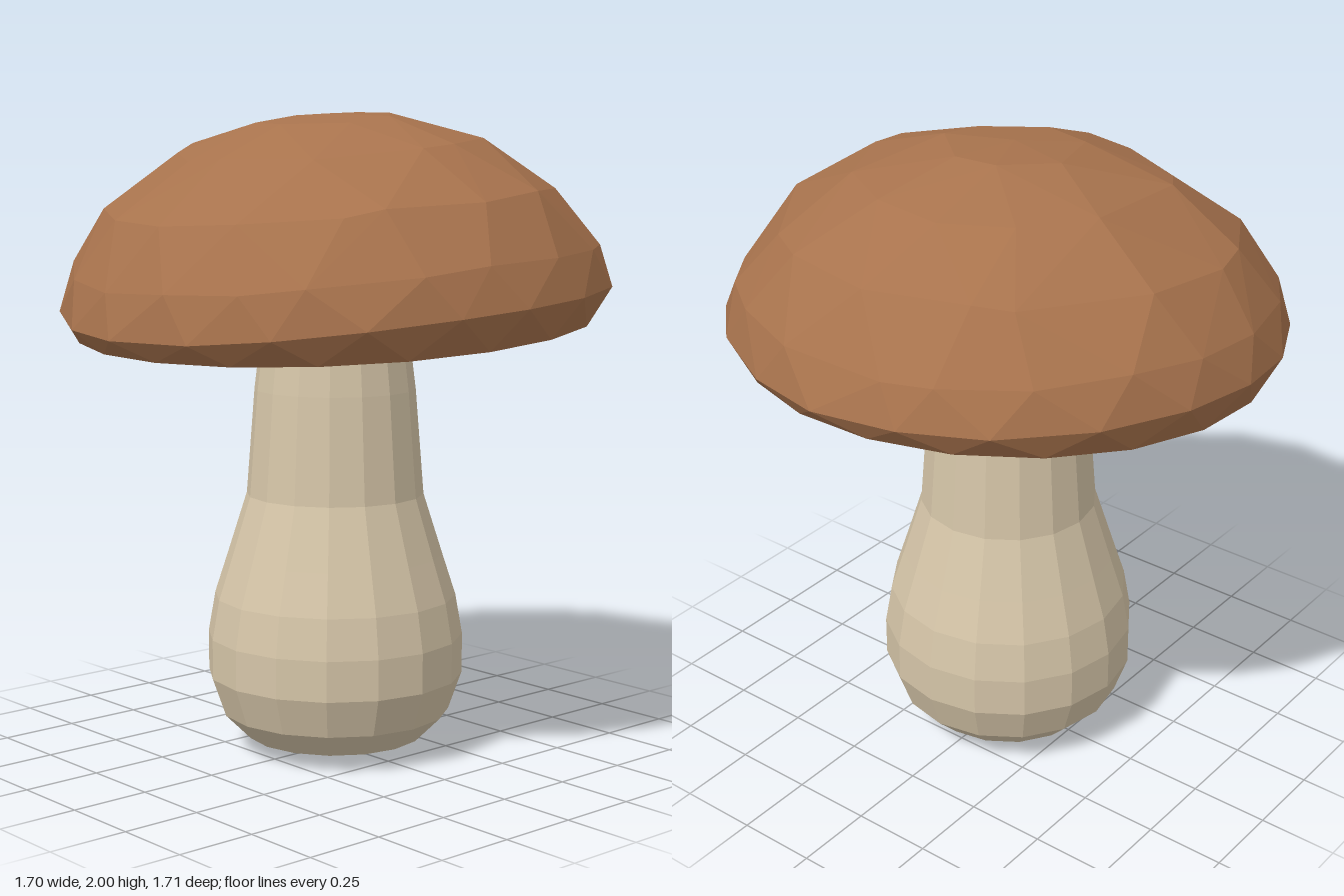
import * as THREE from 'three';
import { ConvexGeometry } from 'three/addons/geometries/ConvexGeometry.js';

// small seeded generator, returns -1..1
function makeRandom(seed) {
  let s = seed;
  return () => {
    s = (s * 16807) % 2147483647;
    return (s / 2147483647) * 2 - 1;
  };
}

// split every face so each facet shades flat
function faceted(geometry) {
  const g = geometry.index ? geometry.toNonIndexed() : geometry;
  g.computeVertexNormals();
  return g;
}

// uneven ring of points; droop lowers it towards the left and right
function ring(radius, y, count, offset, rand, jitter, droop = 0) {
  const points = [];
  for (let i = 0; i < count; i++) {
    const a = ((i + offset + rand() * jitter * 2) / count) * Math.PI * 2;
    const r = radius * (1 + rand() * jitter * 0.06);
    const x = Math.sin(a) * r;
    points.push(new THREE.Vector3(x, y + rand() * jitter * 0.06 - droop * x * x, Math.cos(a) * r));
  }
  return points;
}

export function createModel() {
  const capBrown = new THREE.MeshStandardMaterial({ color: 0xa8734d });
  const paleFlesh = new THREE.MeshStandardMaterial({ color: 0xd5c5a8 });
  capBrown.name = 'capBrown';
  paleFlesh.name = 'paleFlesh';

  const model = new THREE.Group();
  model.name = 'mushroom';
  const add = (parent, name, geometry, material) => {
    const mesh = new THREE.Mesh(geometry, material);
    mesh.name = name;
    parent.add(mesh);
  };

  // stem: bulbous sixteen-sided lathe
  const profile = [
    [0, 0.005], [0.28, 0.05], [0.36, 0.13], [0.402, 0.25], [0.402, 0.375], [0.38, 0.5],
    [0.338, 0.63], [0.278, 0.82], [0.252, 1.15], [0.225, 1.37], [0.21, 1.44], [0, 1.44],
  ].map(([r, y]) => new THREE.Vector2(r, y));
  add(model, 'stem', faceted(new THREE.LatheGeometry(profile, 16)), paleFlesh);

  // tilted cap
  const cap = new THREE.Group();
  cap.name = 'cap';
  cap.position.y = 1.43;
  cap.rotation.set(0.02, 0, 0.075);
  model.add(cap);

  // dome: hull of staggered, slightly uneven rings
  const rand = makeRandom(41);
  const sides = 20;
  const rimY = -0.075;
  const droop = 0.075;
  const rim = ring(0.8, rimY, sides, 0.5, rand, 0);
  const points = [
    ...rim,
    ...ring(0.853, 0.04, sides, 0, rand, 0.06, droop),
    ...ring(0.815, 0.165, sides, 0.5, rand, 0.12, droop),
    ...ring(0.695, 0.335, 16, 0, rand, 0.15, droop),
    ...ring(0.475, 0.48, 12, 0.5, rand, 0.15, droop),
    ...ring(0.22, 0.555, 7, 0.4, rand, 0.1, droop),
    new THREE.Vector3(0, 0.568, 0),
  ];
  const hull = new ConvexGeometry(points).attributes.position;
  const dome = [];
  for (let i = 0; i < hull.count; i += 3) {
    // leave the base open for the underside
    if ([0, 1, 2].every((k) => hull.getY(i + k) < rimY + 0.001)) continue;
    for (let k = 0; k < 3; k++) dome.push(hull.getX(i + k), hull.getY(i + k), hull.getZ(i + k));
  }
  const domeGeometry = new THREE.BufferGeometry();
  domeGeometry.setAttribute('position', new THREE.Float32BufferAttribute(dome, 3));
  add(cap, 'capDome', faceted(domeGeometry), capBrown);

  // underside: bumpy concentric rings running in from the rim
  const rings = [
    rim,
    ring(0.62, rimY - 0.003, sides, 0, rand, 0.2),
    ring(0.42, rimY + 0.005, sides, 0.5, rand, 0.2),
    ring(0.18, rimY + 0.02, sides, 0, rand, 0),
  ];
  const under = [];
  for (let j = 0; j < rings.length - 1; j++) {
    const [a, b] = [rings[j], rings[j + 1]];
    for (let i = 0; i < sides; i++) {
      const n = (i + 1) % sides;
      // the half-step stagger alternates, so the diagonal does too
      const faces = j % 2 === 0
        ? [a[i], b[i], b[n], a[i], b[n], a[n]]
        : [a[i], b[i], a[n], a[n], b[i], b[n]];
      faces.forEach((p) => under.push(p.x, p.y, p.z));
    }
  }
  const underGeometry = new THREE.BufferGeometry();
  underGeometry.setAttribute('position', new THREE.Float32BufferAttribute(under, 3));
  add(cap, 'capUnderside', faceted(underGeometry), paleFlesh);

  return model;
}
